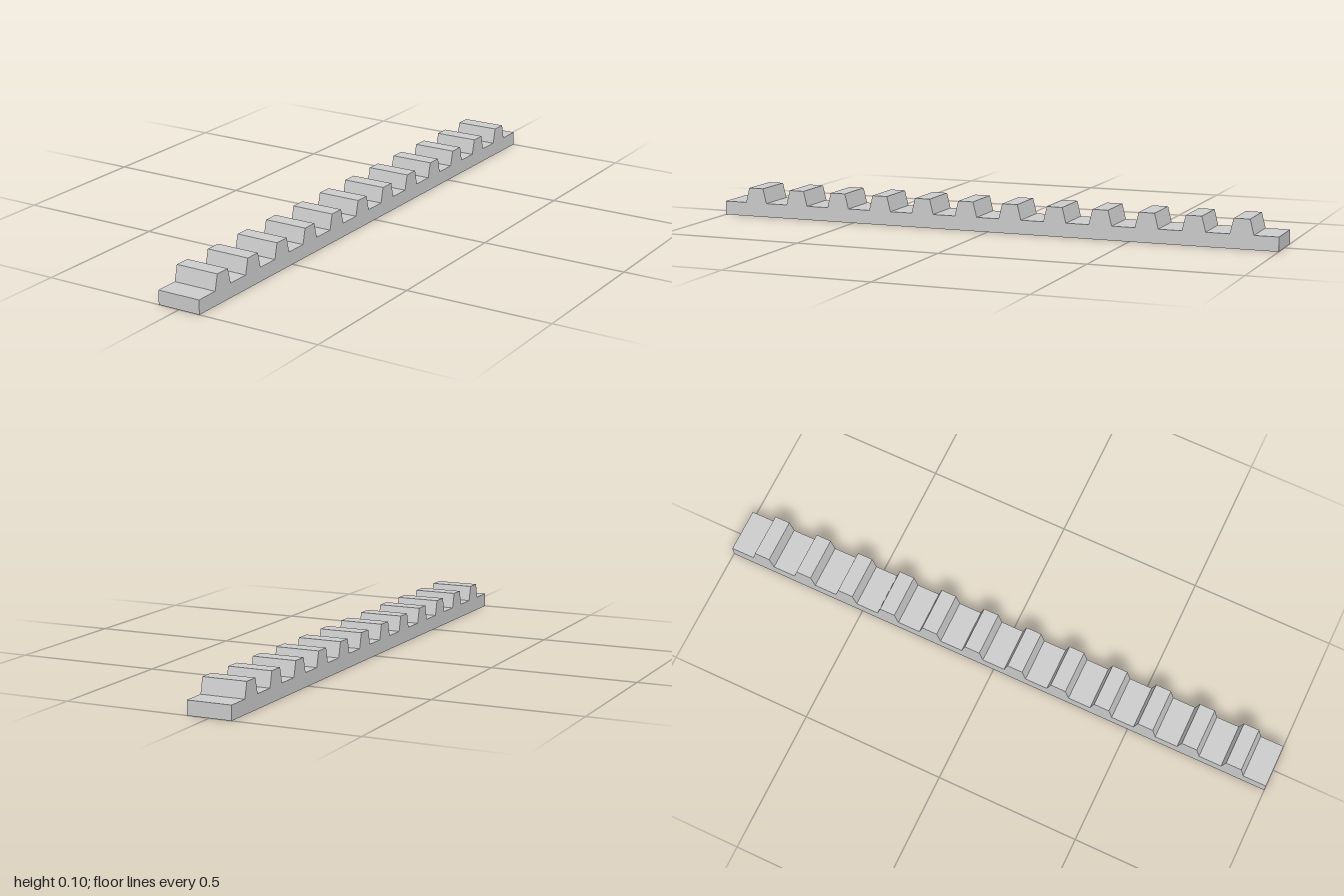
import * as THREE from 'three';

const WIDTH = 0.152, BASE = 0.048, TOP = 0.1;
const TEETH = 12, PITCH = 0.1596, ROOT = 0.04, TIP = 0.027;

// Side profile of the toothed bar, drawn along its length
function rackProfile() {
  const shape = new THREE.Shape();
  shape.moveTo(-1, 0);
  shape.lineTo(1, 0);
  shape.lineTo(1, BASE);
  for (let i = TEETH - 1; i >= 0; i--) {
    const c = (i - (TEETH - 1) / 2) * PITCH;
    shape.lineTo(c + ROOT, BASE);
    shape.lineTo(c + TIP, TOP);
    shape.lineTo(c - TIP, TOP);
    shape.lineTo(c - ROOT, BASE);
  }
  shape.lineTo(-1, BASE);
  shape.closePath();
  return shape;
}

export function createModel() {
  const group = new THREE.Group();
  group.name = 'gearRack';

  // Bar and teeth in one extrusion, turned so its length runs along z
  const geometry = new THREE.ExtrudeGeometry(rackProfile(), { depth: WIDTH, bevelEnabled: false });
  geometry.translate(0, 0, -WIDTH / 2);
  geometry.rotateY(Math.PI / 2);
  const material = new THREE.MeshStandardMaterial({ color: 0xcccccc, flatShading: true });
  const rack = new THREE.Mesh(geometry, material);
  rack.name = 'toothedBar';
  group.add(rack);

  return group;
}
